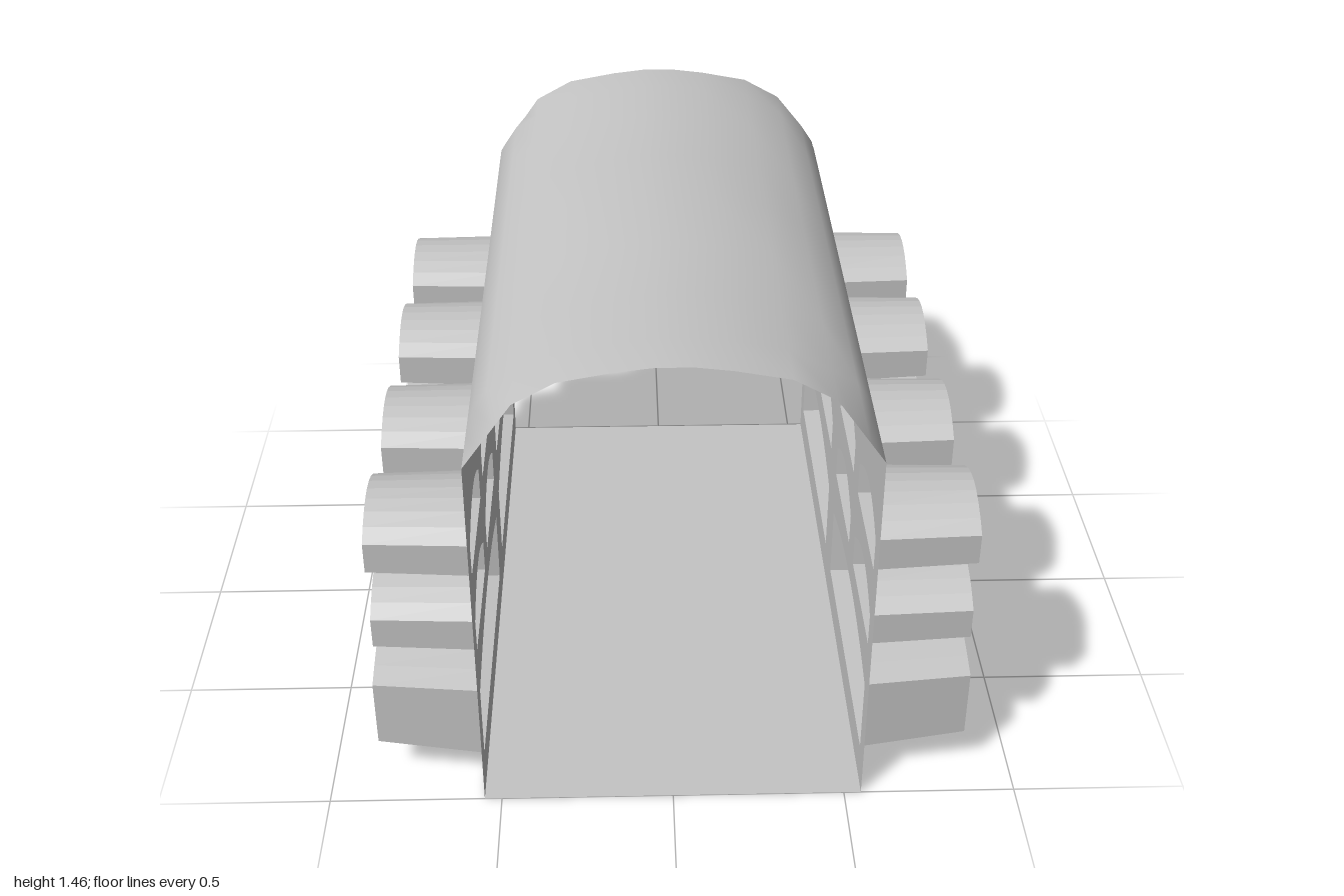
import * as THREE from 'three';

const stone = new THREE.MeshStandardMaterial({ color: 0xc4c4c4, side: THREE.DoubleSide });
stone.name = 'stone grey';

const HALF = 0.55, EAVE = 1.16;

// Outline of a niche: flat sill, straight jambs, low segmental arch
function outline(x0, x1, sill, spring, top, n) {
  const pts = [new THREE.Vector2(x0, sill), new THREE.Vector2(x1, sill)];
  for (let i = 0; i <= n; i++) {
    const u = 1 - (2 * i) / n;
    pts.push(new THREE.Vector2((x0 + x1) / 2 + (u * (x1 - x0)) / 2, top - (top - spring) * u * u));
  }
  return pts;
}

// Surface through rows of points; each row has the same length
function loft(rows, flat) {
  const w = rows[0].length, index = [];
  for (let r = 0; r < rows.length - 1; r++) {
    for (let i = 0; i < w - 1; i++) {
      const a = r * w + i, b = a + w;
      index.push(a, a + 1, b, a + 1, b + 1, b);
    }
  }
  let geo = new THREE.BufferGeometry();
  geo.setAttribute('position', new THREE.Float32BufferAttribute(rows.flat(2), 3));
  geo.setIndex(index);
  if (flat) geo = geo.toNonIndexed();
  geo.computeVertexNormals();
  return geo;
}

function mesh(name, geo) {
  const m = new THREE.Mesh(geo, stone);
  m.name = name;
  return m;
}

// Niches of one side: two wide ones below, two rows of four small ones above
const niches = [];
for (const x of [-0.925, 0.075]) {
  niches.push({ x0: x, x1: x + 0.85, sill: 0.11, spring: 0.345, top: 0.41, n: 12, depth: 0.31, inset: 0.032, lift: 0.023 });
}
for (const sill of [0.497, 0.757]) {
  for (const x of [-0.925, -0.447, 0.075, 0.553]) {
    niches.push({ x0: x, x1: x + 0.372, sill, spring: sill + 0.1, top: sill + 0.167, n: 8, depth: 0.293, inset: 0.014, lift: 0.007 });
  }
}

// One side wall with openings and the tapered niches behind them
function buildSide(name) {
  const side = new THREE.Group();
  side.name = name;
  const wall = new THREE.Shape([
    new THREE.Vector2(-1, 0), new THREE.Vector2(1, 0),
    new THREE.Vector2(1, EAVE), new THREE.Vector2(-1, EAVE),
  ]);
  niches.forEach((p, k) => {
    const mouth = outline(p.x0, p.x1, p.sill, p.spring, p.top, p.n);
    const back = outline(p.x0 + p.inset, p.x1 - p.inset, p.sill + p.lift, p.spring, p.top, p.n);
    wall.holes.push(new THREE.Path(mouth));
    const ring = (pts, z) => [...pts, pts[0]].map((q) => [q.x, q.y, z]);
    const niche = new THREE.Group();
    niche.name = k < 2 ? 'wideNiche' : 'smallNiche';
    const end = mesh('nicheBack', new THREE.ShapeGeometry(new THREE.Shape(back)));
    end.position.z = p.depth;
    niche.add(mesh('nicheSides', loft([ring(mouth, 0), ring(back, p.depth)], true)), end);
    side.add(niche);
  });
  side.add(mesh('wall', new THREE.ShapeGeometry(wall)));
  return side;
}

// Barrel roof: haunches are straight at the open ends and bulge in between
function buildRoof() {
  const half = [[0.55, 1.16], [0.525, 1.25], [0.485, 1.31], [0.415, 1.352], [0.3, 1.412], [0.15, 1.44], [0.05, 1.452]];
  const chord = { 1: [0.505, 1.224], 2: [0.46, 1.288] };
  const rows = [-1, -0.85, -0.6, -0.3, 0, 0.3, 0.6, 0.85, 1].map((z) => {
    const atEnd = Math.abs(z) === 1;
    const pts = half.map((p, i) => (atEnd && chord[i]) || p);
    const wave = (i) => (i > 3 ? 0.005 * Math.cos(z * 7) : 0);
    const right = pts.map(([x, y], i) => [x, y + wave(i), z]);
    const left = right.map(([x, y]) => [-x, y, z]).reverse();
    return [...right, ...left];
  });
  return mesh('roof', loft(rows, false));
}

export function createModel() {
  const model = new THREE.Group();
  model.name = 'vaultedHall';

  for (const s of [1, -1]) {
    const side = buildSide(s > 0 ? 'leftSide' : 'rightSide');
    side.rotation.y = (s * Math.PI) / 2;
    side.position.x = s * HALF;
    model.add(side);
  }

  const floor = mesh('floor', new THREE.PlaneGeometry(2 * HALF, 2));
  floor.rotation.x = -Math.PI / 2;
  model.add(floor, buildRoof());
  return model;
}
